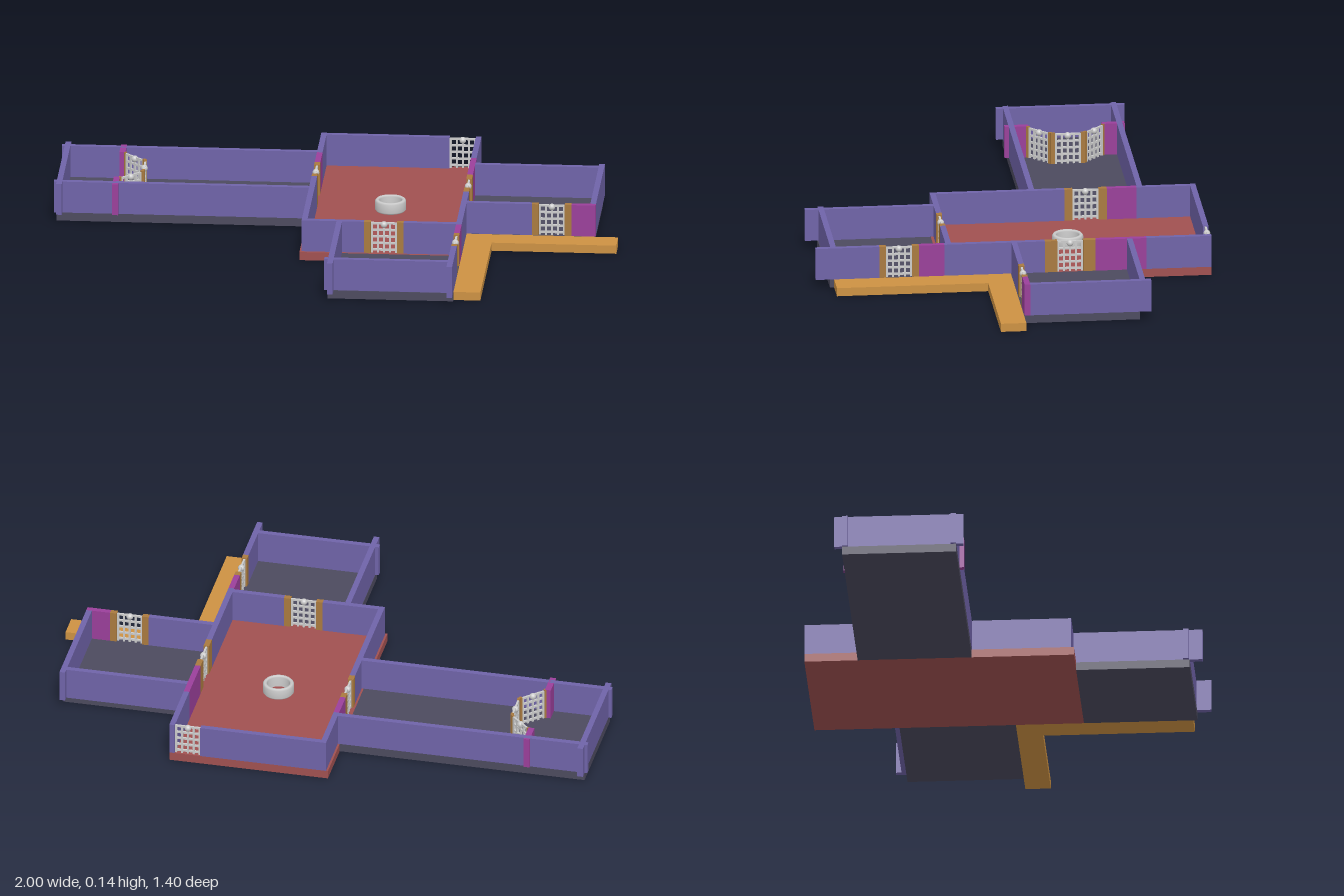
import * as THREE from 'three';

const FLOOR = 0.03, TOP = 0.145;
const mat = (color) => new THREE.MeshStandardMaterial({ color });

export function createModel() {
  const model = new THREE.Group();
  model.name = 'floorPlan';
  const purple = mat(0x6f63a8), red = mat(0xa05050), dark = mat(0x4c4a5e);
  const orange = mat(0xcc9142), magenta = mat(0x9a3f9a), jambMat = mat(0xa97a3f);
  const grey = mat(0xcccccc);

  // Box given by its plan limits and height range
  function slab(name, material, x0, x1, z0, z1, y0 = FLOOR, y1 = TOP, parent = model) {
    const mesh = new THREE.Mesh(new THREE.BoxGeometry(x1 - x0, y1 - y0, z1 - z0), material);
    mesh.position.set((x0 + x1) / 2, (y0 + y1) / 2, (z0 + z1) / 2);
    mesh.name = name;
    parent.add(mesh);
  }
  const floor = (name, material, ...plan) => slab(name, material, ...plan, 0, FLOOR);
  const wall = (name, ...plan) => slab(name, purple, ...plan);
  const panel = (name, ...plan) => slab(name, magenta, ...plan);

  // Barred gate along local x, with jambs reaching out to +-reach
  function gate(name, x, z, angle, reach, depth = 0.02) {
    const g = new THREE.Group();
    g.name = name;
    const half = 0.046, r = 0.0035;
    for (let i = 0; i < 5; i++) {
      const u = -half + r + (i / 4) * 2 * (half - r);
      slab('uprightBar', grey, u - r, u + r, -r, r, FLOOR, TOP - 0.005, g);
    }
    for (let i = 0; i < 5; i++) {
      const y = 0.04 + i * 0.0245;
      slab('crossBar', grey, -half, half, -r, r, y - r, y + r, g);
    }
    const knob = new THREE.Mesh(new THREE.SphereGeometry(0.012, 16, 10), grey);
    knob.name = 'knob';
    knob.position.y = TOP - 0.012;
    g.add(knob);
    if (reach > half) {
      for (const s of [-1, 1]) {
        const a = s * half, b = s * reach;
        slab('jamb', jambMat, Math.min(a, b), Math.max(a, b), -depth / 2, depth / 2, FLOOR, TOP, g);
      }
    }
    g.position.set(x, 0, z);
    g.rotation.y = angle;
    model.add(g);
  }

  // Floors
  floor('hallFloor', red, -0.107, 0.465, -0.7, 0.25);
  floor('leftWingFloor', dark, -0.99, -0.107, -0.512, -0.11);
  floor('rightRoomFloor', dark, 0.465, 0.915, -0.4, 0.01);
  floor('frontRoomFloor', dark, 0.022, 0.465, 0.25, 0.65);

  // L-shaped path outside
  floor('pathSide', orange, 0.465, 1, 0.01, 0.1);
  floor('pathFront', orange, 0.465, 0.56, 0.1, 0.635);

  // Central hall
  wall('hallBackWall', -0.1, 0.354, -0.7, -0.68);
  wall('hallBackWallEnd', 0.446, 0.465, -0.7, -0.68);
  gate('hallBackGate', 0.4, -0.69, 0, 0);
  wall('hallLeftWallBack', -0.1, -0.08, -0.68, -0.49);
  panel('hallLeftPanel', -0.1, -0.08, -0.49, -0.385);
  gate('hallLeftGate', -0.09, -0.31, Math.PI / 2, 0.075);
  wall('hallLeftWallFront', -0.1, -0.08, -0.235, 0.24);
  wall('hallFrontWallLeft', -0.08, 0.12, 0.22, 0.24);
  gate('hallFrontGate', 0.19, 0.23, 0, 0.07);
  wall('hallFrontWallRight', 0.26, 0.445, 0.22, 0.24);
  wall('hallRightWallBack', 0.445, 0.465, -0.68, -0.47);
  panel('hallRightPanel', 0.445, 0.465, -0.47, -0.29);
  gate('hallRightGate', 0.455, -0.2, Math.PI / 2, 0.09);
  wall('hallRightWallFront', 0.445, 0.465, -0.11, 0.245);

  // Left wing
  wall('leftWingBackWall', -1, -0.1, -0.512, -0.492);
  wall('leftWingFrontWall', -1, -0.1, -0.13, -0.11);
  wall('leftWingEndWall', -0.99, -0.97, -0.54, -0.085);
  panel('screenPanelBack', -0.793, -0.772, -0.52, -0.44);
  panel('screenPanelFront', -0.793, -0.772, -0.18, -0.095);

  // Three-part bowed screen
  gate('screenMiddle', -0.695, -0.31, Math.PI / 2, 0.06, 0.01);
  for (const s of [-1, 1]) {
    gate('screenSide', -0.736, -0.31 + s * 0.097, s * 0.77, 0.055, 0.01);
  }

  // Right room
  wall('rightRoomBackWall', 0.465, 0.92, -0.42, -0.4);
  wall('rightRoomEndWall', 0.9, 0.92, -0.44, -0.012);
  wall('rightRoomFrontWall', 0.465, 0.695, -0.012, 0.008);
  gate('rightRoomGate', 0.765, -0.002, 0, 0.07);
  panel('rightRoomPanel', 0.835, 0.92, -0.012, 0.008);

  // Front room
  wall('frontRoomLeftWall', 0.023, 0.043, 0.24, 0.695);
  wall('frontRoomFrontWall', 0.01, 0.465, 0.627, 0.647);
  panel('frontRoomPanel', 0.445, 0.465, 0.245, 0.335);
  gate('frontRoomGate', 0.455, 0.405, Math.PI / 2, 0.07);
  wall('frontRoomRightWall', 0.445, 0.465, 0.475, 0.7);

  // Round basin in the hall
  const profile = [[0.04, 0], [0.05, 0], [0.055, 0.006], [0.055, 0.036], [0.05, 0.042],
    [0.043, 0.042], [0.04, 0.036], [0.04, 0]].map(([x, y]) => new THREE.Vector2(x, y));
  const basin = new THREE.Mesh(new THREE.LatheGeometry(profile, 40), grey);
  basin.material = grey.clone();
  basin.material.side = THREE.DoubleSide;
  basin.name = 'basin';
  basin.position.set(0.18, FLOOR, -0.22);
  model.add(basin);

  return model;
}
